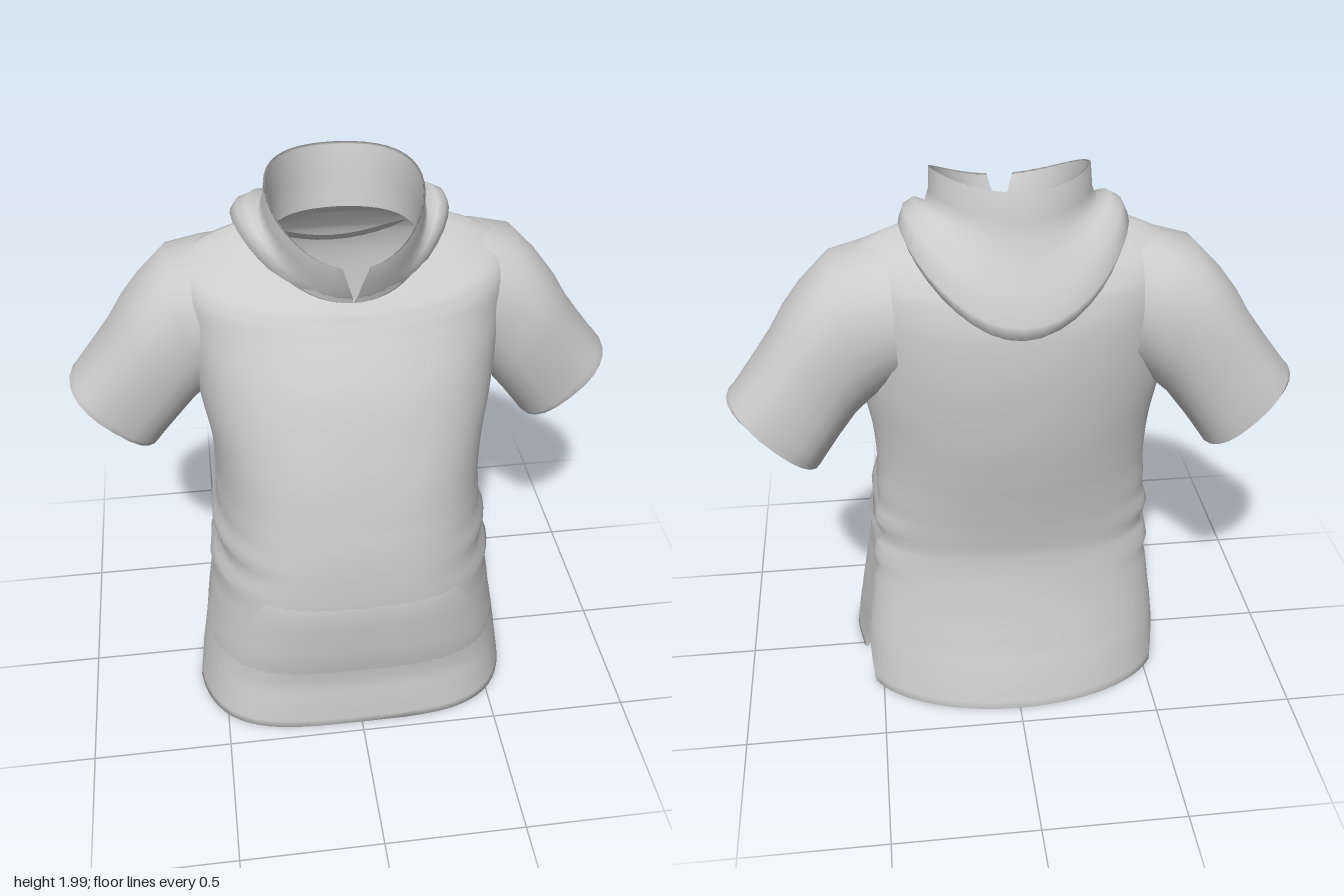
import * as THREE from 'three';
import { mergeGeometries, mergeVertices } from 'three/addons/utils/BufferGeometryUtils.js';

const material = new THREE.MeshStandardMaterial({ color: 0xcccccc, side: THREE.DoubleSide });

// Skin a list of equally long rows of points
function loft(rows) {
  const n = rows[0].length, index = [];
  for (let r = 0; r < rows.length - 1; r++) {
    for (let i = 0; i < n - 1; i++) {
      const a = r * n + i, b = a + n;
      index.push(a, b, a + 1, a + 1, b, b + 1);
    }
  }
  const g = new THREE.BufferGeometry();
  g.setAttribute('position', new THREE.Float32BufferAttribute(rows.flat(2), 3));
  g.setIndex(index);
  return g;
}

function part(name, geometries) {
  const g = mergeVertices(mergeGeometries(geometries), 1e-4);
  g.computeVertexNormals();
  const mesh = new THREE.Mesh(g, material);
  mesh.name = name;
  return mesh;
}

const range = (n, f) => Array.from({ length: n + 1 }, (_, i) => f(i / n));
const power = (v, e) => Math.sign(v) * Math.abs(v) ** e;
const towards = (ring, centre, k) => ring.map(p => p.map((v, i) => THREE.MathUtils.lerp(v, centre[i], k)));

// Torso sections: height, half width, front z, back z, front squareness, front flare
const BODY = [
  [0, .56, .46, -.43, .55, .042], [.11, .55, .453, -.405, .57, .036], [.22, .54, .445, -.375, .58, .03],
  [.4, .515, .468, -.335, .62, .025], [.6, .493, .488, -.31, .66, .02], [.74, .485, .488, -.328, .69, .01],
  [.85, .476, .48, -.35, .7, .004], [.95, .472, .465, -.372, .71, 0], [1.1, .482, .44, -.4, .74, 0],
  [1.25, .51, .402, -.418, .8, 0], [1.4, .53, .355, -.428, .86, 0], [1.55, .55, .285, -.422, .9, 0],
  [1.66, .56, .242, -.395, .9, 0], [1.73, .53, .222, -.36, .92, 0], [1.79, .42, .205, -.33, .95, 0],
  [1.84, .29, .195, -.3, 1, 0]
];
const SIDE_Z = -.12, SLIT_TOP = .22;
const depthCurve = new THREE.CatmullRomCurve3(BODY.map(b => new THREE.Vector3(b[1], b[2], b[3])), false, 'catmullrom');

function section(y) {
  let i = 0;
  while (i < BODY.length - 2 && y > BODY[i + 1][0]) i++;
  const f = (y - BODY[i][0]) / (BODY[i + 1][0] - BODY[i][0]);
  const p = depthCurve.getPoint((i + f) / (BODY.length - 1));
  const mix = k => THREE.MathUtils.lerp(BODY[i][k], BODY[i + 1][k], f);
  return { w: p.x, front: p.y, back: p.z, e: mix(4), flare: mix(5) };
}

// Point on the torso, with slanted waist folds at the sides and a neckline that drops to the front
function bodyPoint(y, angle, scale = 1) {
  const s = section(y), c = Math.cos(angle), n = Math.sin(angle);
  const e = n > 0 ? s.e : 1, reach = n > 0 ? s.front - SIDE_Z : SIDE_Z - s.back;
  const z = SIDE_Z + power(n, e) * reach * scale;
  const level = y - .15 * z;
  const fold = .017 * Math.cos((level - .58) * 42) * Math.exp(-(((level - .65) / .13) ** 2)) * c * c;
  const t = Math.max(0, (y - 1.45) / .39);
  const drop = t * t * (n > 0 ? .16 * n : -.07 * n);
  const w = s.w + fold + s.flare * THREE.MathUtils.clamp(5 * n, 0, 1);
  return [power(c, e) * w * scale, y - drop, z];
}

// Half of a torso section, stopping short of the side slit near the hem
function bodyRow(isFront, y, scale = 1) {
  const s = section(y), gap = .1 * Math.max(0, 1 - y / SLIT_TOP);
  const reach = isFront ? s.front - SIDE_Z : SIDE_Z - s.back;
  const a = Math.asin((gap / reach) ** (1 / (isFront ? s.e : 1))), start = isFront ? 0 : Math.PI;
  return range(32, u => bodyPoint(y, start + a + (Math.PI - 2 * a) * u, scale));
}

// Front or back panel: folded hem first, then the outer cloth
function panel(isFront) {
  const rows = [bodyRow(isFront, .08, .97), bodyRow(isFront, .003, .975), bodyRow(isFront, 0)];
  BODY.slice(1).forEach((b, i) => {
    for (let k = 1; k <= 4; k++) rows.push(bodyRow(isFront, THREE.MathUtils.lerp(BODY[i][0], b[0], k / 4)));
  });
  return loft(rows);
}

// Hollow lining that closes the bottom, with an open wedge at the back
function bottomLining() {
  const back = bodyRow(false, .08, .97);
  const ring = [
    ...back.filter(p => p[0] > .13), bodyPoint(SLIT_TOP, 0, .99),
    ...bodyRow(true, .08, .97), bodyPoint(SLIT_TOP, Math.PI, .99),
    ...back.filter(p => p[0] < -.13)
  ];
  return loft([0, .5, .999].map(k => towards(ring, [0, .3, -.08], k)));
}

// Front pocket: only its slanted hand openings stand off the cloth
function pocket() {
  return loft(range(16, v => {
    const y = .24 + .42 * v, s = section(y);
    const edge = THREE.MathUtils.mapLinear(y, .3, .63, .53, .34);
    const a = Math.acos(Math.min(.97, edge / (s.w + s.flare)) ** (1 / s.e));
    const scale = 1.008 - .016 * Math.abs(2 * v - 1) ** 4;
    return range(28, u => bodyPoint(y, a + (Math.PI - 2 * a) * u, scale));
  }));
}

// Sleeve sections: top x y, underside x y, half depth, centre z, squareness
const SLEEVE = [
  [.4, 1.768, .38, 1.3, .24, -.12, .97], [.47, 1.758, .42, 1.275, .23, -.13, .95],
  [.59, 1.725, .475, 1.235, .222, -.14, .88],
  [.69, 1.62, .52, 1.195, .22, -.14, .84], [.75, 1.54, .55, 1.155, .212, -.145, .82],
  [.80, 1.455, .585, 1.11, .205, -.15, .8], [.875, 1.352, .63, 1.045, .195, -.16, .8],
  [.935, 1.272, .66, 1.0, .188, -.165, .8], [.955, 1.25, .67, .99, .185, -.165, .8]
];
function sleeve(side) {
  const rows = SLEEVE.map(([tx, ty, bx, by, d, z, e], i) => range(24, u => {
    const a = -side * u * Math.PI * 2, c = power(Math.cos(a), e) / 2, n = power(Math.sin(a), e);
    // The cuff is cut slightly shorter at the back
    const lift = i === SLEEVE.length - 1 ? .02 * Math.max(0, -n) : 0;
    return [side * ((tx + bx) / 2 + (tx - bx) * c - lift), (ty + by) / 2 + (ty - by) * c + lift, z + d * n];
  }));
  // Hollow end
  const end = rows[rows.length - 1];
  [.03, .5, .999].forEach(k => rows.push(towards(end, [side * .755, 1.18, -.165], k)));
  return loft(rows);
}

// Collar and hood rings: half width, front z, back z, heights at front, side, back, front gap
const HOOD = [
  [.25, .195, -.30, 1.68, 1.77, 1.77, .003],
  [.245, .215, -.32, 1.75, 1.86, 1.88, .02],
  [.247, .243, -.335, 1.825, 1.965, 1.98, .043],
  [.256, .252, -.347, 1.83, 1.97, 1.985, .045],
  [.26, .23, -.36, 1.77, 1.9, 1.9, .026],
  [.275, .208, -.372, 1.71, 1.865, 1.84, .008],
  [.31, .187, -.40, 1.68, 1.89, 1.78, .003],
  [.345, .17, -.44, 1.66, 1.875, 1.7, .003],
  [.362, .155, -.488, 1.645, 1.835, 1.605, .003],
  [.352, .15, -.475, 1.64, 1.81, 1.56, .003],
  [.335, .145, -.45, 1.635, 1.79, 1.545, .003],
  [.28, .14, -.38, 1.63, 1.77, 1.62, .003]
];
function hood() {
  return loft(HOOD.map(([w, zf, zb, yf, ys, yb, gap]) => {
    const a0 = Math.asin(gap / w);
    return range(40, u => {
      const a = a0 + (Math.PI * 2 - 2 * a0) * u, c = Math.cos(a);
      const y = ys + c * (yf - yb) / 2 + c * c * ((yf + yb) / 2 - ys);
      return [w * Math.sin(a), y, (zf + zb) / 2 + c * (zf - zb) / 2];
    });
  }));
}

export function createModel() {
  const shirt = new THREE.Group();
  shirt.name = 'hoodedShirt';
  shirt.add(
    part('torso', [panel(true), panel(false)]),
    part('bottomLining', [bottomLining()]),
    part('pocket', [pocket()]),
    part('leftSleeve', [sleeve(1)]),
    part('rightSleeve', [sleeve(-1)]),
    part('collarAndHood', [hood()])
  );
  return shirt;
}
